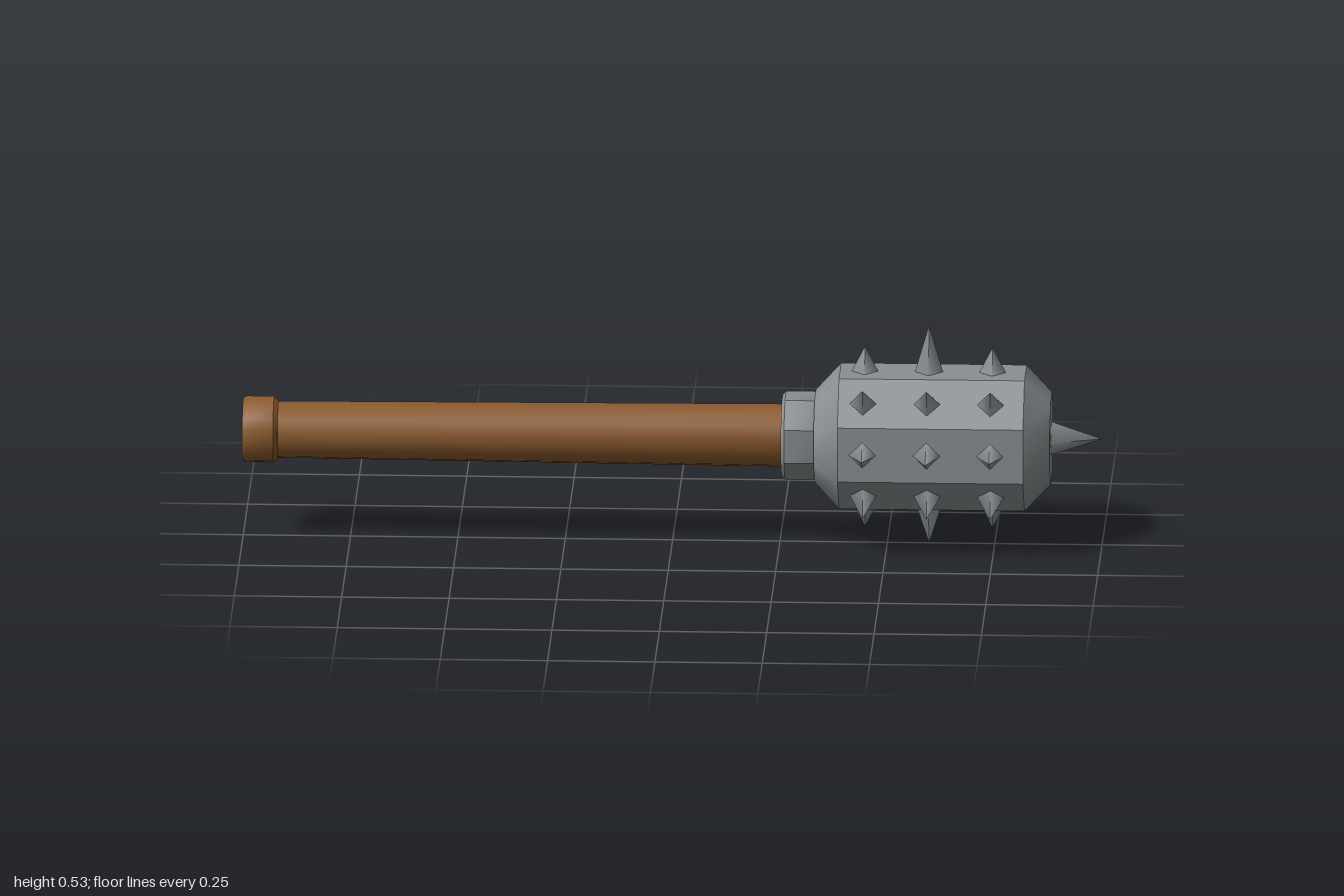
import * as THREE from 'three';
import { toCreasedNormals } from 'three/addons/utils/BufferGeometryUtils.js';

const AXIS_Y = 0.257;

export function createModel() {
  const iron = new THREE.MeshStandardMaterial({ color: 0x8a9092 });
  const wood = new THREE.MeshStandardMaterial({ color: 0x8a5a2e });
  iron.name = 'iron';
  wood.name = 'wood';

  const model = new THREE.Group();
  model.name = 'spikedMace';

  // Turned part along x: profile is [x, radius to the flats] pairs
  function turned(name, profile, sides, material, crease) {
    const k = 1 / Math.cos(Math.PI / sides);
    const points = profile.map(([x, r]) => new THREE.Vector2(r * k, x));
    const lathe = new THREE.LatheGeometry(points, sides, Math.PI / sides);
    const geometry = toCreasedNormals(lathe, crease);
    geometry.rotateZ(-Math.PI / 2);
    const mesh = new THREE.Mesh(geometry, material);
    mesh.name = name;
    mesh.position.y = AXIS_Y;
    model.add(mesh);
  }

  // Wooden shaft and its end cap
  turned('handle', [[-0.93, 0], [-0.93, 0.065], [0.27, 0.072], [0.27, 0]], 16, wood, 0.6);
  turned('pommel', [[-1, 0], [-1, 0.072], [-0.992, 0.076], [-0.928, 0.076], [-0.918, 0.066], [-0.918, 0]], 16, wood, 0.6);

  // Iron socket and eight-sided head
  turned('collar', [[0.255, 0], [0.255, 0.088], [0.263, 0.096], [0.328, 0.096], [0.345, 0.088], [0.345, 0]], 8, iron, 0.6);
  turned('head', [[0.332, 0], [0.332, 0.1], [0.39, 0.158], [0.822, 0.158], [0.882, 0.1], [0.882, 0]], 8, iron, 0.6);

  // Four-sided spike whose base lies at a given point, pointing along dir
  function spike(name, base, dir, length, radius) {
    const geometry = new THREE.ConeGeometry(radius, length, 4, 1, true);
    geometry.translate(0, length / 2, 0);
    const mesh = new THREE.Mesh(geometry, iron);
    mesh.name = name;
    mesh.position.copy(base);
    mesh.quaternion.setFromUnitVectors(new THREE.Vector3(0, 1, 0), dir);
    model.add(mesh);
  }

  // Three rings of spikes, one on each flat of the head
  [0.448, 0.597, 0.745].forEach((x, ring) => {
    for (let i = 0; i < 8; i++) {
      const a = (i * Math.PI) / 4;
      const dir = new THREE.Vector3(0, Math.cos(a), Math.sin(a));
      let tip = 0.219;
      if (ring === 1 && i % 4 === 0) tip = i === 0 ? 0.271 : 0.257;
      else if (ring === 1 && i % 2 === 0) tip = 0.238;
      const base = new THREE.Vector3(x, AXIS_Y, 0).addScaledVector(dir, 0.15);
      spike('sideSpike', base, dir, tip - 0.15, 0.035);
    }
  });

  // Spike at the far end
  spike('tipSpike', new THREE.Vector3(0.878, AXIS_Y, 0), new THREE.Vector3(1, 0, 0), 0.122, 0.042);

  return model;
}
